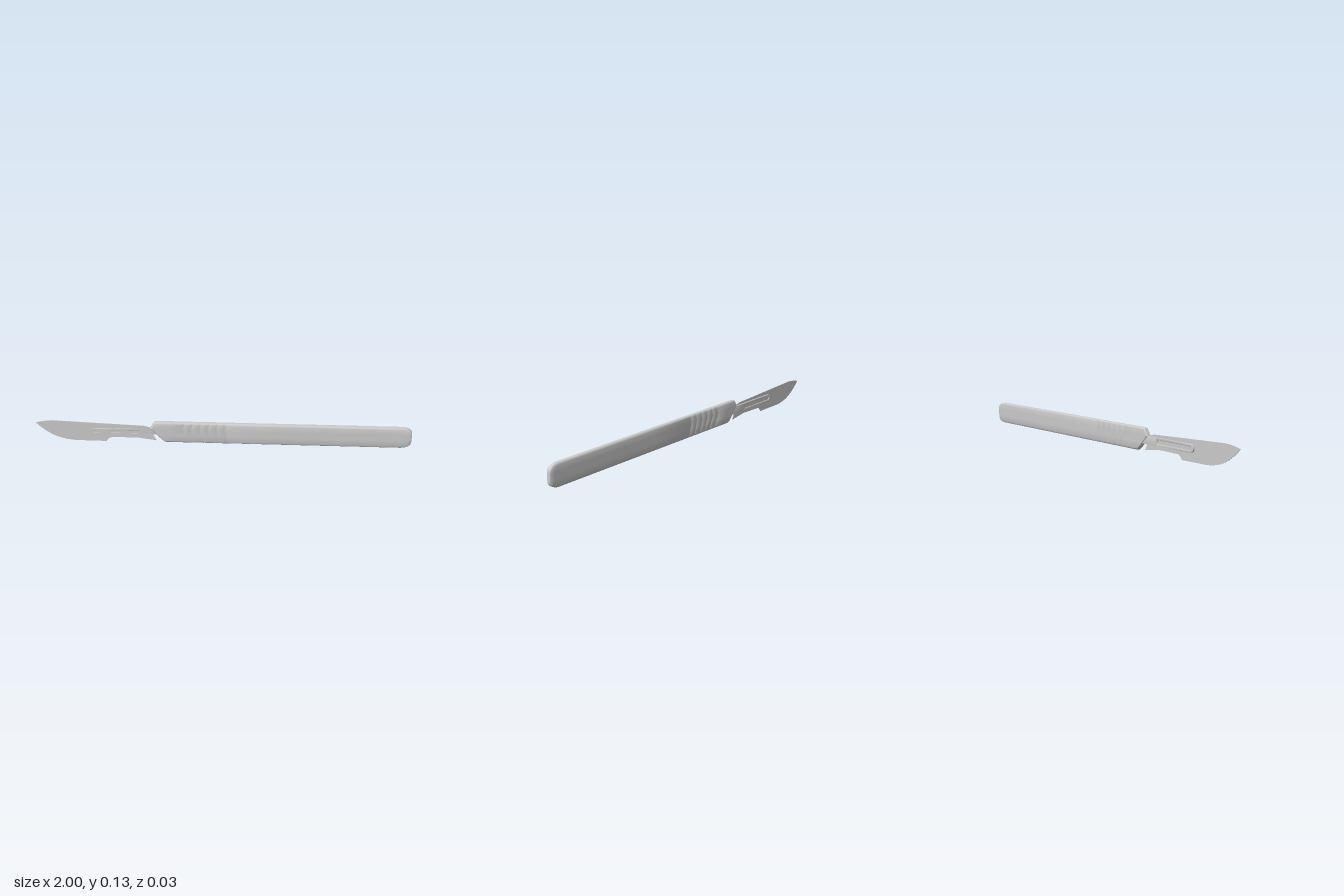
import * as THREE from 'three';
import { toCreasedNormals } from 'three/addons/utils/BufferGeometryUtils.js';

const material = new THREE.MeshStandardMaterial({ color: 0xcccccc });

function add(group, name, geometry) {
  const mesh = new THREE.Mesh(toCreasedNormals(geometry, 0.55), material);
  mesh.name = name;
  group.add(mesh);
}

// Extrudes a shape between two depths
function slab(shape, z0, z1, bevel = 0) {
  const g = new THREE.ExtrudeGeometry(shape, {
    depth: z1 - z0 - 2 * bevel, curveSegments: 10, bevelEnabled: bevel > 0,
    bevelThickness: bevel, bevelSize: bevel, bevelOffset: -bevel, bevelSegments: 2,
  });
  return g.translate(0, 0, z0 + bevel);
}

// Bar with a rounded tip on the left; optionally rounded on the right too
function bar(Target, x0, x1, y0, y1, roundBoth) {
  const r = (y1 - y0) / 2, s = new Target();
  s.moveTo(x0 + r, y0);
  if (roundBoth) {
    s.lineTo(x1 - r, y0);
    s.absarc(x1 - r, y0 + r, r, -Math.PI / 2, Math.PI / 2, false);
  } else {
    s.lineTo(x1, y0);
    s.lineTo(x1, y1);
  }
  s.lineTo(x0 + r, y1);
  s.absarc(x0 + r, y0 + r, r, Math.PI / 2, Math.PI * 1.5, false);
  return s;
}

// Handle lofted along x through rounded sections
function handleGeometry() {
  const half = [[0, 0.6], [0.03, 0.87], [0.08, 1], [0.36, 1], [0.67, 1], [0.92, 1], [0.97, 0.87], [1, 0.6]];
  const section = [...half, ...half.map(([v, w]) => [v, -w]).reverse()];
  const n = section.length, bottom = 0.008, height = 0.119, depth = 0.0138;
  // Chevron of the front end, fading out along the handle
  const chevron = v => (v < 0.67 ? (0.67 - v) * 0.112 : (v - 0.67) * 0.067);

  // Stations: x, height scale, depth scale, chevron amount
  const stations = [[-0.384, 0.98, 0.72, 1], [-0.377, 1, 1, 1], [-0.3, 1, 1, 0.8]];
  for (let i = 0; i < 6; i++) {
    const x = -0.21 + i * 0.045, slant = 0.45 - i * 0.05;
    for (const [dx, d] of [[-0.006, 1], [-0.003, 0.9], [0.003, 0.9], [0.006, 1]])
      stations.push([x + dx, 1, d, slant]);
  }
  stations.push([0.3, 1, 1, 0]);
  for (let i = 0; i <= 6; i++) {
    const a = (i / 6) * Math.PI / 2;
    stations.push([0.945 + 0.055 * Math.sin(a), 0.45 + 0.55 * Math.cos(a), i < 4 ? 1 : 1 - (i - 3) * 0.1, 0]);
  }

  const rings = stations.map(([x, sy, sz, c]) => section.map(([v, w]) => [
    x + chevron(v) * c, bottom + height * (0.5 + (v - 0.5) * sy), w * depth * sz,
  ]));
  const pos = [];
  const quad = (a, b, c, d) => pos.push(...a, ...b, ...c, ...a, ...c, ...d);
  for (let i = 0; i < rings.length - 1; i++)
    for (let j = 0; j < n; j++) {
      const k = (j + 1) % n;
      quad(rings[i][j], rings[i + 1][j], rings[i + 1][k], rings[i][k]);
    }
  // End caps
  const first = rings[0], last = rings[rings.length - 1];
  for (let j = 0; j < half.length - 1; j++) {
    const q = n - 1 - j;
    quad(first[q], first[j], first[j + 1], first[q - 1]);
    quad(last[j], last[q], last[q - 1], last[j + 1]);
  }
  const g = new THREE.BufferGeometry();
  g.setAttribute('position', new THREE.Float32BufferAttribute(pos, 3));
  g.computeVertexNormals();
  return g;
}

export function createModel() {
  const group = new THREE.Group();
  group.name = 'scalpel';

  add(group, 'handle', handleGeometry());

  // Thin blade with a curved cutting edge and a mounting slot
  const blade = new THREE.Shape();
  blade.moveTo(-1, 0.104);
  blade.bezierCurveTo(-0.95, 0.05, -0.89, 0.003, -0.78, 0.001);
  blade.lineTo(-0.625, 0);
  blade.quadraticCurveTo(-0.61, 0.025, -0.59, 0.025);
  blade.lineTo(-0.46, 0.027);
  blade.lineTo(-0.355, 0.012);
  blade.lineTo(-0.378, 0.055);
  blade.lineTo(-0.385, 0.09);
  blade.lineTo(-0.42, 0.099);
  blade.lineTo(-0.9, 0.119);
  blade.quadraticCurveTo(-0.95, 0.119, -1, 0.104);
  blade.holes.push(bar(THREE.Path, -0.7, -0.445, 0.052, 0.08, true));
  add(group, 'blade', slab(blade, -0.0015, 0.0015));

  // Tang behind the blade, with a sunken channel
  const tang = bar(THREE.Shape, -0.71, -0.44, 0.045, 0.088, false);
  tang.holes.push(bar(THREE.Path, -0.695, -0.455, 0.057, 0.076, true));
  add(group, 'tangRim', slab(tang, -0.01, -0.0015, 0.001));
  add(group, 'tangFloor', slab(bar(THREE.Shape, -0.7, -0.445, 0.053, 0.079, true), -0.006, 0.001));

  // Narrow raised lug filling the top of the slot
  add(group, 'tangLug', slab(bar(THREE.Shape, -0.698, -0.45, 0.068, 0.079, true), 0, 0.004, 0.001));

  // Neck joining the tang to the handle
  const neck = new THREE.Shape();
  neck.moveTo(-0.445, 0.045);
  neck.lineTo(-0.33, 0.045);
  neck.lineTo(-0.36, 0.088);
  neck.lineTo(-0.445, 0.088);
  add(group, 'neck', slab(neck, -0.01, -0.0015, 0.001));

  return group;
}
